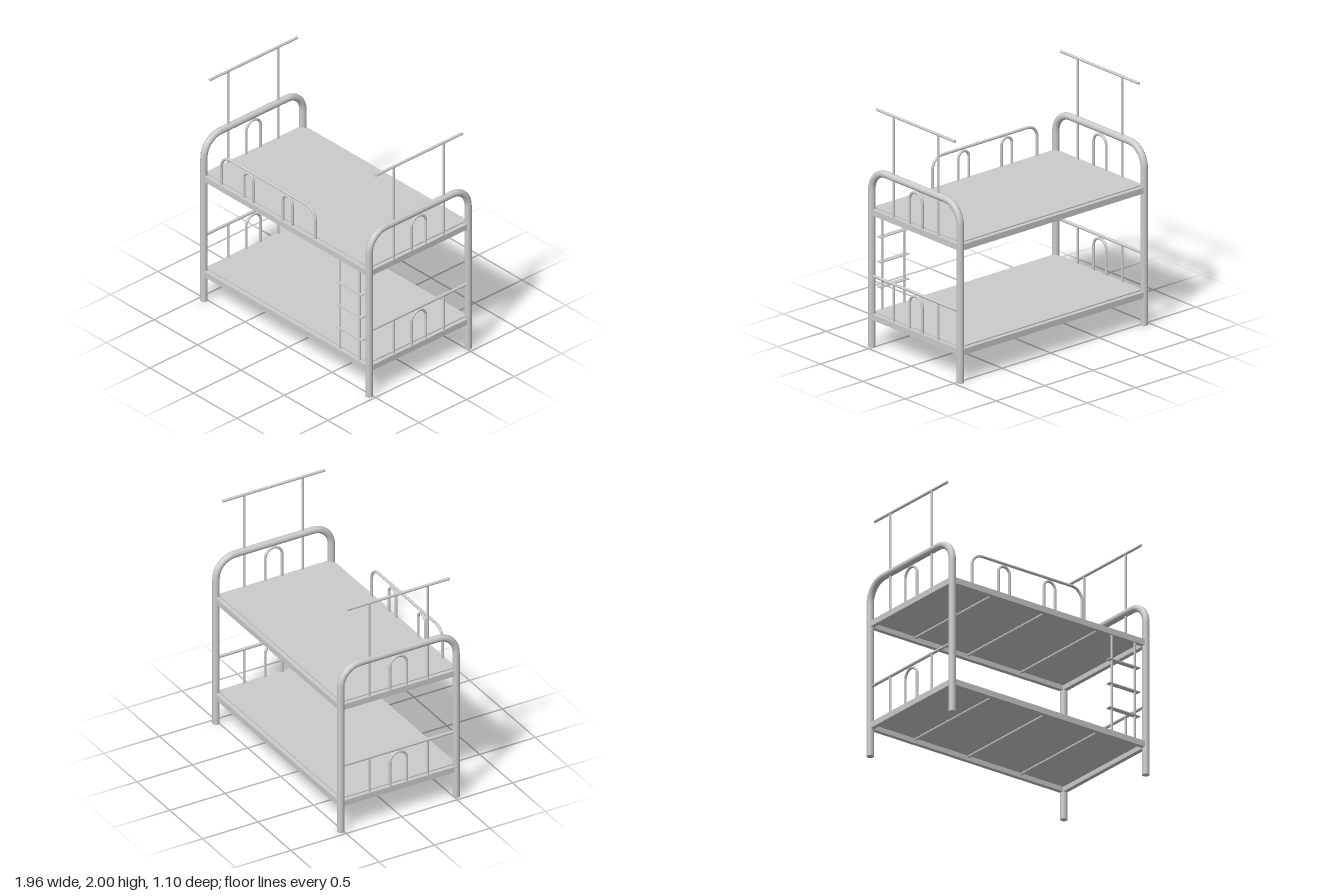
import * as THREE from 'three';

const material = new THREE.MeshStandardMaterial({ color: 0xcccccc });
const V = (x, y, z) => new THREE.Vector3(x, y, z);

function add(parent, name, geometry, x = 0, y = 0, z = 0) {
  const mesh = new THREE.Mesh(geometry, material);
  mesh.name = name;
  mesh.position.set(x, y, z);
  parent.add(mesh);
  return mesh;
}

function box(parent, name, w, h, d, x, y, z) {
  return add(parent, name, new THREE.BoxGeometry(w, h, d), x, y, z);
}

// Round bar along one axis, centred on its position
function bar(parent, name, axis, length, r, x, y, z) {
  const geometry = new THREE.CylinderGeometry(r, r, length, 12);
  if (axis === 'x') geometry.rotateZ(Math.PI / 2);
  if (axis === 'z') geometry.rotateX(Math.PI / 2);
  return add(parent, name, geometry, x, y, z);
}

// Upside-down U of bent tube in the XY plane, with rounded upper corners
function hoop(half, bottom, top, bend, r, segments, sides = 12) {
  const k = bend * 0.4477;
  const path = new THREE.CurvePath();
  path.add(new THREE.LineCurve3(V(-half, bottom, 0), V(-half, top - bend, 0)));
  path.add(new THREE.CubicBezierCurve3(
    V(-half, top - bend, 0), V(-half, top - k, 0), V(-half + k, top, 0), V(-half + bend, top, 0)));
  if (half > bend) path.add(new THREE.LineCurve3(V(-half + bend, top, 0), V(half - bend, top, 0)));
  path.add(new THREE.CubicBezierCurve3(
    V(half - bend, top, 0), V(half - k, top, 0), V(half, top - k, 0), V(half, top - bend, 0)));
  path.add(new THREE.LineCurve3(V(half, top - bend, 0), V(half, bottom, 0)));
  return new THREE.TubeGeometry(path, segments, r, sides, false);
}

// Bunk: side and end rails, mattress board and slats below it
function makeBunk(name, bottom) {
  const bunk = new THREE.Group();
  bunk.name = name;
  const y = bottom + 0.025;
  for (const s of [-1, 1]) {
    box(bunk, 'sideRail', 1.86, 0.05, 0.036, 0, y, s * 0.52);
    box(bunk, 'endRail', 0.036, 0.05, 1.02, s * 0.948, y, 0);
  }
  box(bunk, 'mattressBoard', 1.866, 0.02, 1.006, 0, bottom + 0.05, 0);
  for (const x of [-0.52, 0, 0.52]) bar(bunk, 'slat', 'z', 1.01, 0.011, x, bottom + 0.032, 0);
  return bunk;
}

// Bed end: main hoop, lower panel, upper panel and tall canopy frame
function makeBedEnd(name, x) {
  const end = new THREE.Group();
  end.name = name;
  end.position.x = x;
  add(end, 'postHoop', hoop(0.52, 0, 1.478, 0.17, 0.029, 110, 20)).rotation.y = Math.PI / 2;
  for (const z of [-0.52, 0.52]) {
    add(end, 'postFoot', new THREE.CylinderGeometry(0.029, 0.029, 0.004, 20), 0, 0.002, z);
  }
  bar(end, 'lowerCrossbar', 'z', 1.04, 0.0125, 0, 0.592, 0);
  add(end, 'lowerArch', hoop(0.075, 0.27, 0.565, 0.075, 0.011, 48)).rotation.y = Math.PI / 2;
  add(end, 'upperArch', hoop(0.075, 1.14, 1.43, 0.075, 0.011, 48)).rotation.y = Math.PI / 2;
  for (const z of [-0.263, 0.263]) {
    bar(end, 'lowerSpindle', 'y', 0.32, 0.01, 0, 0.43, z);
    bar(end, 'canopyPole', 'y', 0.85, 0.01, 0, 1.565, z);
  }
  bar(end, 'canopyBar', 'z', 0.92, 0.0115, 0, 1.9885, 0);
  return end;
}

export function createModel() {
  const model = new THREE.Group();
  model.name = 'bunkBed';

  model.add(makeBunk('lowerBunk', 0.23), makeBunk('upperBunk', 1.1));
  model.add(makeBedEnd('leftEnd', 0.95), makeBedEnd('rightEnd', -0.95));

  // Guard rail on the front of the upper bunk
  const guard = new THREE.Group();
  guard.name = 'guardRail';
  add(guard, 'guardHoop', hoop(0.54, 1.14, 1.414, 0.1, 0.0115, 90), -0.213, 0, 0.515);
  for (const x of [-0.438, 0.008]) {
    add(guard, 'guardArch', hoop(0.054, 1.14, 1.388, 0.054, 0.011, 48), x, 0, 0.515);
  }
  model.add(guard);

  // Ladder between the bunks
  const ladder = new THREE.Group();
  ladder.name = 'ladder';
  for (const x of [0.615, 0.841]) bar(ladder, 'ladderUpright', 'y', 0.84, 0.009, x, 0.69, 0.52);
  for (const y of [0.475, 0.683, 0.89]) box(ladder, 'ladderRung', 0.3, 0.008, 0.044, 0.73, y, 0.519);
  model.add(ladder);

  return model;
}
